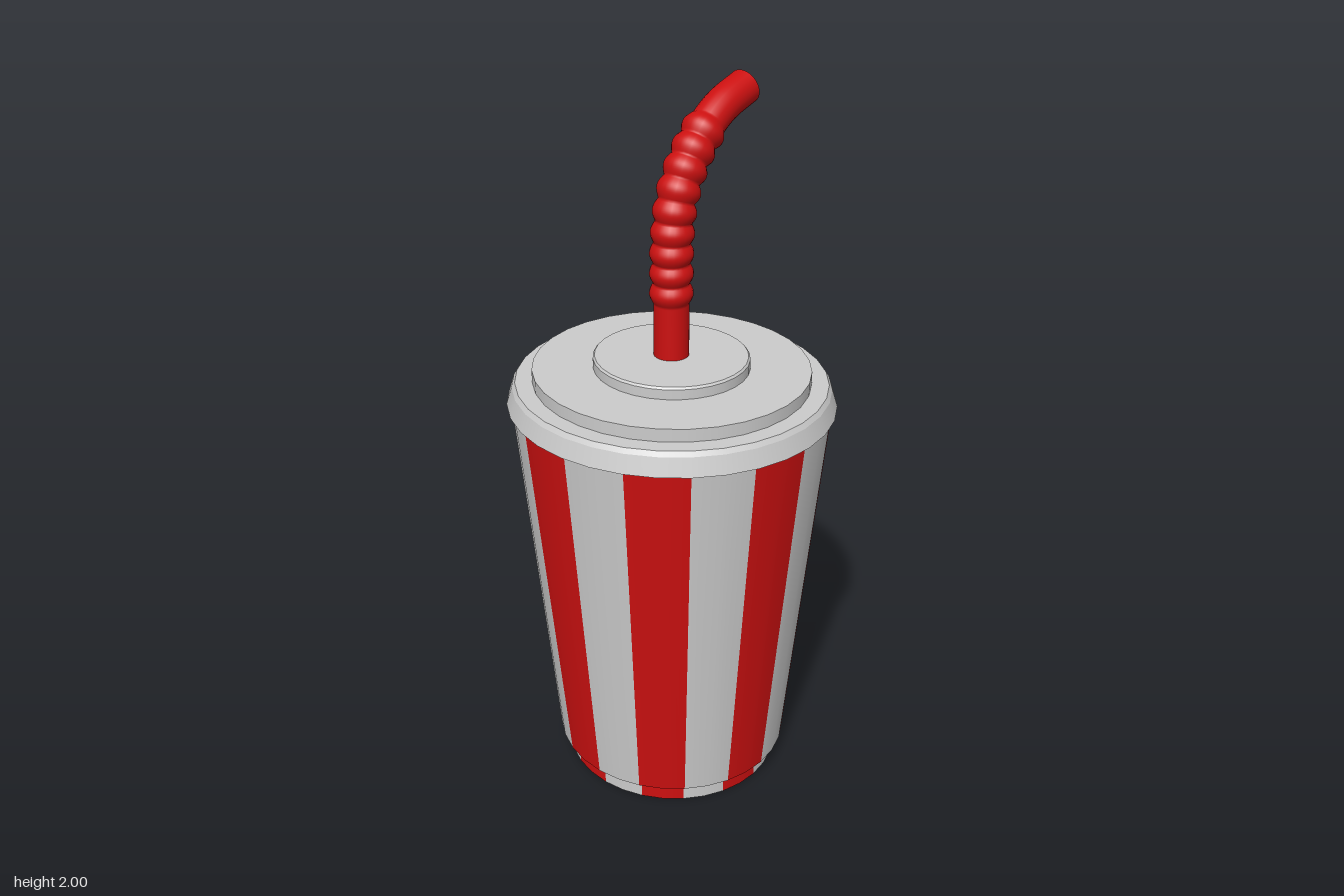
import * as THREE from 'three';
import { mergeGeometries, mergeVertices } from 'three/addons/utils/BufferGeometryUtils.js';

const grey = new THREE.MeshStandardMaterial({ color: 0xcccccc, side: THREE.DoubleSide });
const red = new THREE.MeshStandardMaterial({ color: 0xcc1010, side: THREE.DoubleSide });
const SIDES = 32;
const STRIPES = 16;

// Revolve each profile segment separately: smooth around, crisp between segments.
function revolve(profile, segments = SIDES, start = 0, length = Math.PI * 2) {
  const pts = profile.map(([r, y]) => new THREE.Vector2(r, y));
  const bands = [];
  for (let i = 0; i < pts.length - 1; i++) {
    bands.push(new THREE.LatheGeometry([pts[i], pts[i + 1]], segments, start, length));
  }
  return mergeGeometries(bands);
}

function addMesh(parent, name, geometry, material) {
  const mesh = new THREE.Mesh(geometry, material);
  mesh.name = name;
  parent.add(mesh);
}

// Tapered cup with a recessed base, cut into alternating stripes
function createCup() {
  const cup = new THREE.Group();
  cup.name = 'cup';
  const profile = [[0, 0.045], [0.29, 0.045], [0.295, 0], [0.318, 0], [0.318, 0.06], [0.344, 0.06], [0.446, 1.17]];
  const angle = (Math.PI * 2) / STRIPES;
  const stripes = [[], []];
  for (let i = 0; i < STRIPES; i++) {
    stripes[i % 2].push(revolve(profile, SIDES / STRIPES, i * angle, angle));
  }
  addMesh(cup, 'greyStripes', mergeGeometries(stripes[0]), grey);
  addMesh(cup, 'redStripes', mergeGeometries(stripes[1]), red);
  return cup;
}

// Stepped lid with a bevelled rim
function createLid() {
  const lid = new THREE.Group();
  lid.name = 'lid';
  addMesh(lid, 'lidRim', revolve([[0.43, 1.157], [0.457, 1.157], [0.441, 1.207], [0.432, 1.22], [0.384, 1.22]]), grey);
  addMesh(lid, 'lidStep', revolve([[0.384, 1.22], [0.384, 1.256], [0.216, 1.256]]), grey);
  addMesh(lid, 'lidCentre', revolve([[0.216, 1.256], [0.216, 1.284], [0.211, 1.29], [0, 1.29]]), grey);
  return lid;
}

// Hollow bent straw whose radius swells into rings along the flexible part
function createStraw() {
  const path = new THREE.CatmullRomCurve3([
    [1.24, 0], [1.38, 0], [1.52, 0], [1.63, -0.004], [1.72, -0.022], [1.8, -0.063],
    [1.87, -0.125], [1.92, -0.2], [1.953, -0.302],
  ].map(([y, z]) => new THREE.Vector3(0, y, z)));
  const steps = 220, around = 24, radius = 0.048;
  const ringStart = 0.2, ringPitch = 0.055, ringCount = 9;
  const length = path.getLength();
  const geometry = new THREE.TubeGeometry(path, steps, radius, around, false);
  const pos = geometry.attributes.position;
  const point = new THREE.Vector3();
  for (let i = 0; i <= steps; i++) {
    const ring = ((i / steps) * length - ringStart) / ringPitch;
    const bulge = ring > 0 && ring < ringCount ? 0.011 * Math.abs(Math.sin(ring * Math.PI)) : 0;
    const centre = path.getPointAt(i / steps);
    for (let j = 0; j <= around; j++) {
      const k = i * (around + 1) + j;
      point.fromBufferAttribute(pos, k).sub(centre).multiplyScalar(1 + bulge / radius).add(centre);
      pos.setXYZ(k, point.x, point.y, point.z);
    }
  }
  geometry.deleteAttribute('uv');
  geometry.deleteAttribute('normal');
  const smooth = mergeVertices(geometry, 1e-5);
  smooth.computeVertexNormals();
  return smooth;
}

export function createModel() {
  const model = new THREE.Group();
  model.name = 'drinkCup';
  const cup = createCup();
  const lid = createLid();
  // The cup and lid are slightly oval
  cup.scale.z = lid.scale.z = 0.968;
  model.add(cup, lid);
  addMesh(model, 'straw', createStraw(), red);
  return model;
}
